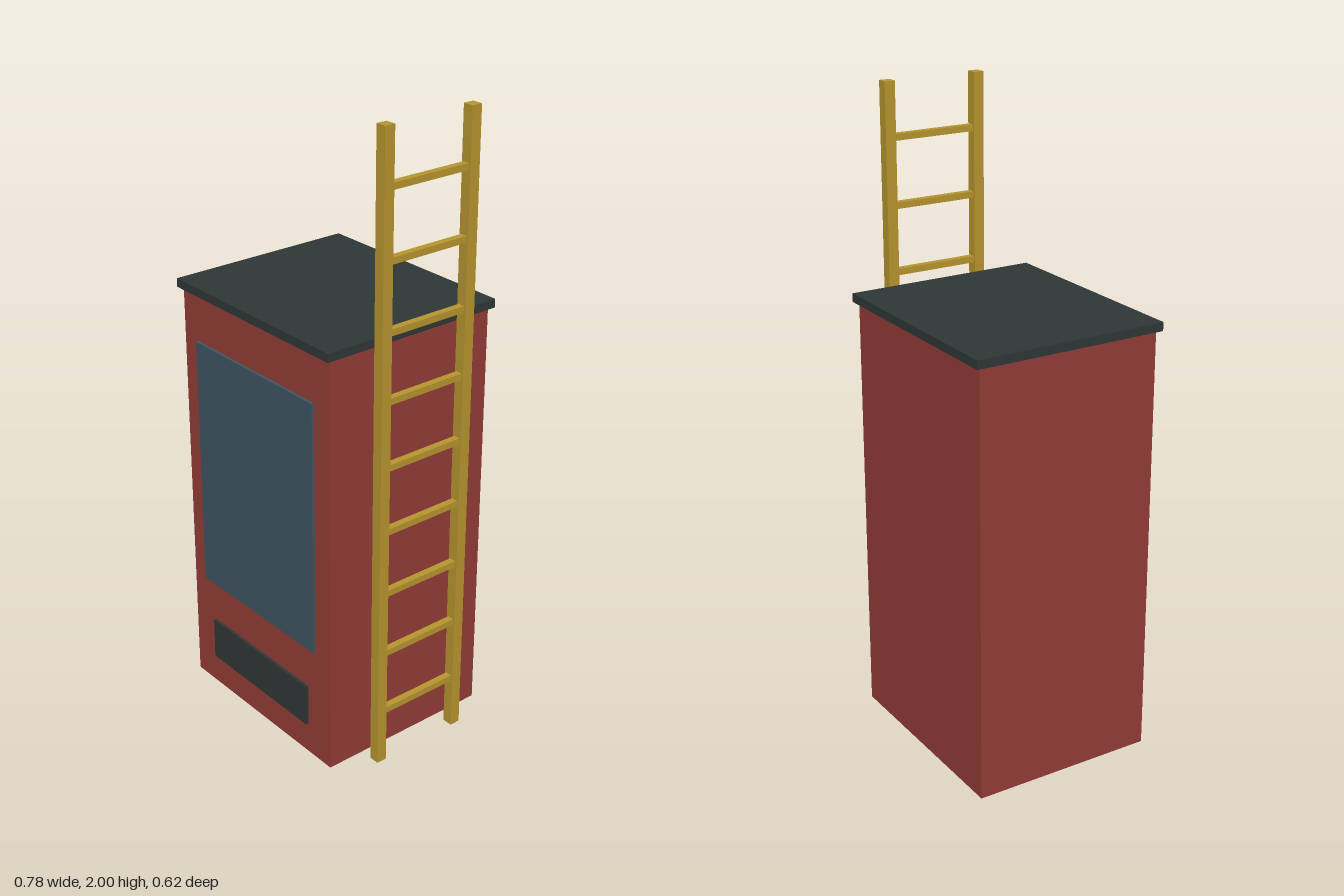
import * as THREE from 'three';

const material = (name, color) => {
  const m = new THREE.MeshStandardMaterial({ color });
  m.name = name;
  return m;
};

export function createModel() {
  const red = material('brick red', 0x943d37);
  const dark = material('dark slate', 0x2f3837);
  const glass = material('blue glass', 0x3f5562);
  const gold = material('ladder yellow', 0xb8962f);

  const model = new THREE.Group();
  model.name = 'kioskWithLadder';

  // Box given by its extents on each axis
  const box = (parent, name, mat, [x0, x1], [y0, y1], [z0, z1]) => {
    const mesh = new THREE.Mesh(new THREE.BoxGeometry(x1 - x0, y1 - y0, z1 - z0), mat);
    mesh.position.set((x0 + x1) / 2, (y0 + y1) / 2, (z0 + z1) / 2);
    mesh.name = name;
    parent.add(mesh);
  };

  // Cabinet with overhanging roof
  const cabinet = new THREE.Group();
  cabinet.name = 'cabinet';
  model.add(cabinet);
  box(cabinet, 'body', red, [-0.375, 0.315], [0, 1.36], [-0.295, 0.295]);
  box(cabinet, 'roof', dark, [-0.388, 0.328], [1.36, 1.387], [-0.31, 0.31]);

  // Front plates
  box(cabinet, 'displayWindow', glass, [-0.308, 0.247], [0.385, 1.207], [0.295, 0.3045]);
  box(cabinet, 'deliverySlot', dark, [-0.27, 0.209], [0.104, 0.243], [0.295, 0.3045]);

  // Ladder standing beside the cabinet
  const ladder = new THREE.Group();
  ladder.name = 'ladder';
  model.add(ladder);
  box(ladder, 'rearRail', gold, [0.354, 0.388], [0, 2], [-0.169, -0.135]);
  box(ladder, 'frontRail', gold, [0.354, 0.388], [0, 2], [0.135, 0.169]);
  for (let i = 0; i < 9; i++) {
    const y = 0.175 + i * 0.207;
    box(ladder, `rung${i + 1}`, gold, [0.36, 0.382], [y - 0.01, y + 0.01], [-0.14, 0.14]);
  }
  return model;
}
